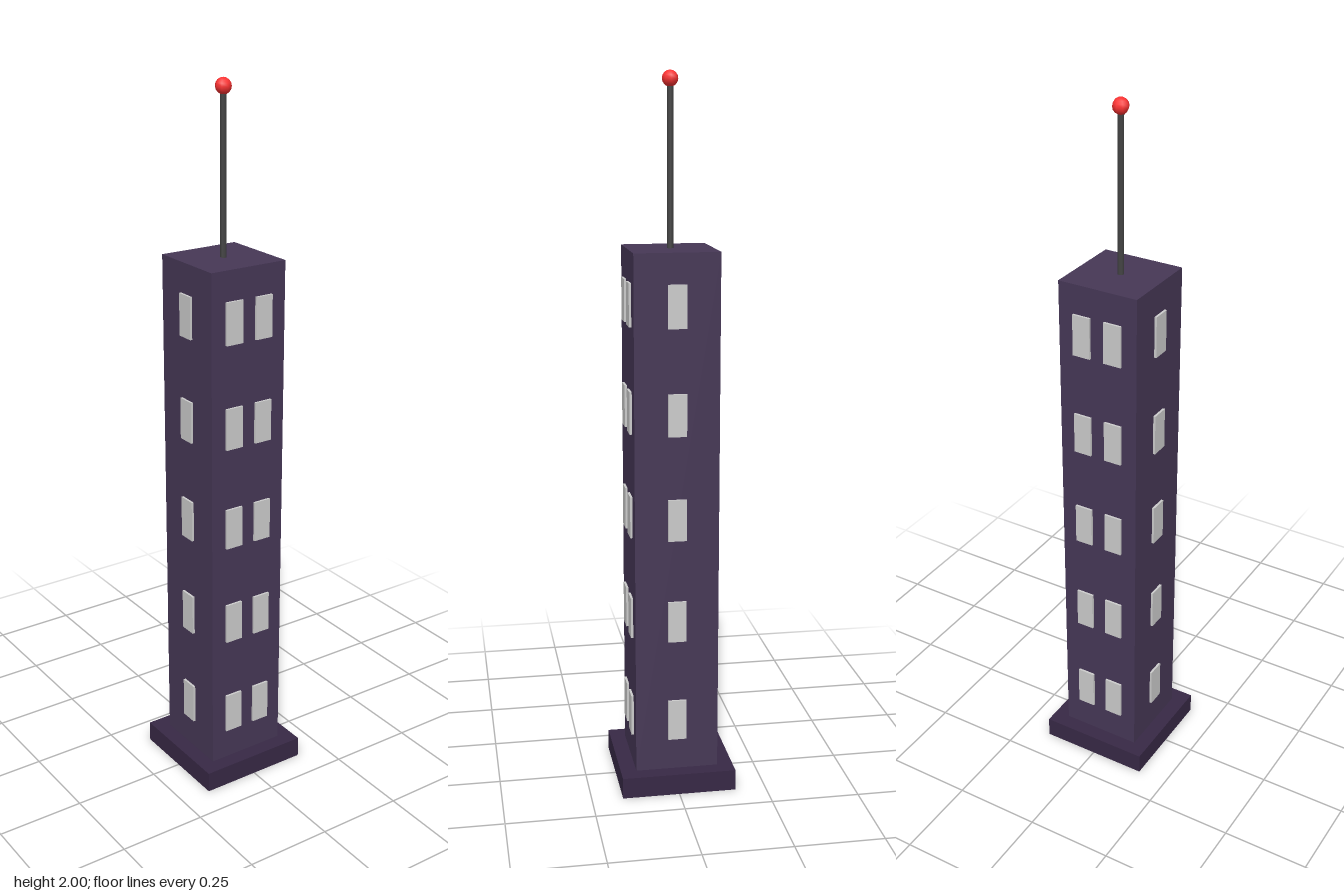
import * as THREE from 'three';

export function createModel() {
  const model = new THREE.Group();
  const mat = (color) => new THREE.MeshStandardMaterial({ color });
  const wall = mat(0x463756);
  const plinth = mat(0x372845);
  const metal = mat(0x444444);
  const red = mat(0xff3333);
  const glass = mat(0xcccccc);

  const add = (name, geometry, material, x, y, z, parent = model) => {
    const mesh = new THREE.Mesh(geometry, material);
    mesh.name = name;
    mesh.position.set(x, y, z);
    parent.add(mesh);
    return mesh;
  };

  // Plinth and tower shaft
  add('base', new THREE.BoxGeometry(0.324, 0.06, 0.324), plinth, 0, 0.03, 0);
  add('tower', new THREE.BoxGeometry(0.235, 1.473, 0.235), wall, 0, 0.7965, 0);

  // Windows: pairs on front and back, single ones on the sides
  const windows = new THREE.Group();
  windows.name = 'windows';
  model.add(windows);
  const frontPane = new THREE.BoxGeometry(0.052, 0.118, 0.012);
  const sidePane = new THREE.BoxGeometry(0.012, 0.118, 0.052);
  for (let floor = 0; floor < 5; floor++) {
    const y = 0.21 + floor * 0.295;
    for (const side of [-1, 1]) {
      for (const x of [-0.047, 0.047]) {
        add(side > 0 ? 'frontWindow' : 'backWindow', frontPane, glass, x, y, side * 0.118, windows);
      }
      add(side > 0 ? 'leftWindow' : 'rightWindow', sidePane, glass, side * 0.118, y, 0, windows);
    }
  }

  // Antenna with beacon
  add('antenna', new THREE.CylinderGeometry(0.0088, 0.0088, 0.442, 8), metal, 0, 1.754, 0);
  add('beacon', new THREE.SphereGeometry(0.022, 8, 8), red, 0, 1.978, 0);

  return model;
}
